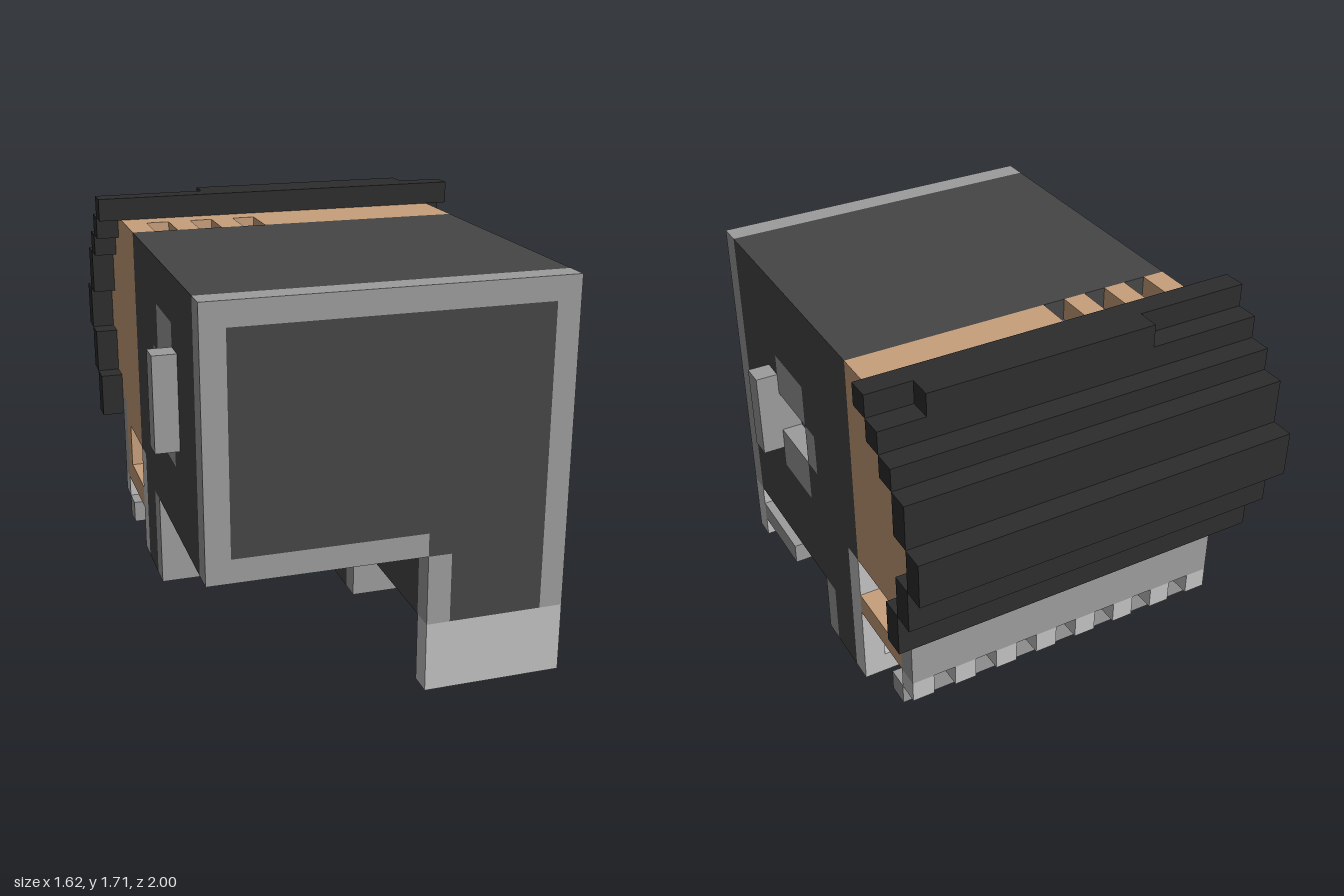
import * as THREE from 'three';

const U = 2 / 21; // one block
const mat = (name, color) => {
  const m = new THREE.MeshStandardMaterial({ color });
  m.name = name;
  return m;
};

export function createModel() {
  const dark = mat('darkGrey', 0x464646);
  const grey = mat('midGrey', 0x9c9c9c);
  const light = mat('lightGrey', 0xc1c1c1);
  const tan = mat('tan', 0xc8a07c);
  const black = mat('black', 0x2d2d2d);
  const purple = mat('purple', 0x605f8b);

  const model = new THREE.Group();
  model.name = 'blockHelmet';
  const part = (name) => {
    const g = new THREE.Group();
    g.name = name;
    model.add(g);
    return g;
  };
  // Box between block coordinates: x 0..17, y 0..18, z 0..21
  const box = (group, name, m, x0, x1, y0, y1, z0, z1) => {
    const mesh = new THREE.Mesh(new THREE.BoxGeometry((x1 - x0) * U, (y1 - y0) * U, (z1 - z0) * U), m);
    mesh.position.set(((x0 + x1) / 2 - 8.5) * U, ((y0 + y1) / 2) * U, ((z0 + z1) / 2 - 10.5) * U);
    mesh.name = name;
    group.add(mesh);
  };
  const points = (list) => list.map(([z, y]) => new THREE.Vector2((z - 10.5) * U, y * U));

  // Main casing
  const casing = part('casing');
  box(casing, 'core', dark, 2, 15, 7, 17, 8, 20);
  box(casing, 'lowerRight', dark, 2, 10, 6, 7, 9, 20);
  box(casing, 'lowerLeft', dark, 10, 15, 3, 7, 9, 20);

  // Side walls with a cross-shaped opening, filled by the ear piece
  for (const [side, x, low, y] of [['left', 15, 3, 7], ['right', 1, 6, 9]]) {
    const shape = new THREE.Shape(points([[8, 7], [9, 7], [9, low], [20, low], [20, 17], [8, 17]]));
    shape.holes.push(new THREE.Path(points([
      [13, y], [16, y], [16, y + 1], [17, y + 1], [17, y + 5], [16, y + 5],
      [16, y + 6], [13, y + 6], [13, y + 4], [12, y + 4], [12, y + 2], [13, y + 2],
    ])));
    const geo = new THREE.ExtrudeGeometry(shape, { depth: U, bevelEnabled: false });
    geo.rotateY(-Math.PI / 2).translate((x + 1 - 8.5) * U, 0, 0);
    const wall = new THREE.Mesh(geo, dark);
    wall.name = side + 'Wall';
    casing.add(wall);

    const ear = part(side + 'Ear');
    const out = side === 'left' ? 1 : 0;
    box(ear, 'upperPad', grey, x, x + 1, y + 4, y + 6, 13, 16);
    box(ear, 'lowerPad', grey, x, x + 1, y, y + 2, 13, 16);
    box(ear, 'rearPad', grey, x, x + 1, y + 2, y + 4, 12, 13);
    box(ear, 'handle', grey, x - 1 + out, x + 1 + out, y + 1, y + 5, 16, 17);
    const floor = out ? [15, 15.05] : [1.95, 2];
    box(ear, 'lens', purple, ...floor, y + 2, y + 4, 13, 16);
  }

  // Front frame and screen
  const front = part('frontFrame');
  for (const b of [[1, 16, 16, 17], [1, 2, 6, 16], [2, 10, 6, 7], [10, 11, 3, 6], [15, 16, 3, 16]])
    box(front, 'frameBar', grey, ...b, 20, 21);
  for (const b of [[2, 15, 7, 16], [10, 15, 6, 7], [11, 15, 3, 6]])
    box(front, 'screen', dark, ...b, 20, 21);
  box(front, 'chinPlate', light, 10, 16, 0, 3, 20, 21);

  // Chin arm behind the chin plate
  const chin = part('chinArm');
  box(chin, 'arm', grey, 15, 16, 1, 2, 16, 20);
  box(chin, 'knob', light, 12, 14, 2, 3, 19, 20);
  box(chin, 'bracket', grey, 12, 14, 2, 3, 14, 16);

  // Lower neck ring: grey front, dark middle, light rear frame
  const neck = part('neckRing');
  for (const b of [[10, 16, 0, 3], [1, 10, 2, 6]]) {
    box(neck, 'neckFront', grey, ...b, 11, 12);
    box(neck, 'neckMiddle', dark, ...b, 9, 11);
  }
  for (const b of [[15, 16, 0, 7], [11, 15, 0, 1], [10, 11, 0, 3], [1, 10, 2, 3], [1, 2, 3, 7], [2, 15, 6, 7]])
    box(neck, 'neckFrame', light, ...b, 8, 9);

  // Tan rear shell, stepped toward the back
  const shell = part('rearShell');
  box(shell, 'shellBody', tan, 1, 16, 7, 16, 4, 8);
  box(shell, 'shellTop', tan, 1, 16, 16, 17, 4, 6);
  for (const [x0, x1] of [[1, 2], [3, 4], [5, 6], [7, 16]])
    box(shell, 'slotWall', tan, x0, x1, 16, 17, 6, 8);
  for (const x of [2, 4, 6])
    box(shell, 'slotFloor', purple, x, x + 1, 16, 16.05, 6, 8);
  box(shell, 'trayWall', tan, 1, 16, 4, 7, 4, 5);
  box(shell, 'trayFloor', tan, 1, 16, 4, 5, 5, 8);
  for (const [y0, y1, z] of [[8, 16, 3], [9, 15, 2], [11, 13, 1]])
    box(shell, 'shellStep', tan, 1, 16, y0, y1, z, z + 1);

  // Black strips following the steps
  const strips = part('blackStrips');
  for (const [y0, y1, z] of [[17, 18, 4], [16, 17, 3], [15, 16, 2], [13, 15, 1], [11, 13, 0], [9, 11, 1], [7, 9, 2]])
    box(strips, 'strip', black, 0, 17, y0, y1, z, z + 1);
  box(strips, 'topRidge', black, 5, 15, 17, 18, 3, 4);

  // Rear band with teeth and a lower bar
  const band = part('rearBand');
  box(band, 'band', grey, 1, 16, 4, 8, 3, 4);
  for (let x = 1; x < 16; x += 2) box(band, 'tooth', light, x, x + 1, 3, 4, 3, 4);
  box(band, 'lowerBar', grey, 1, 16, 2, 3, 4, 5);

  return model;
}
